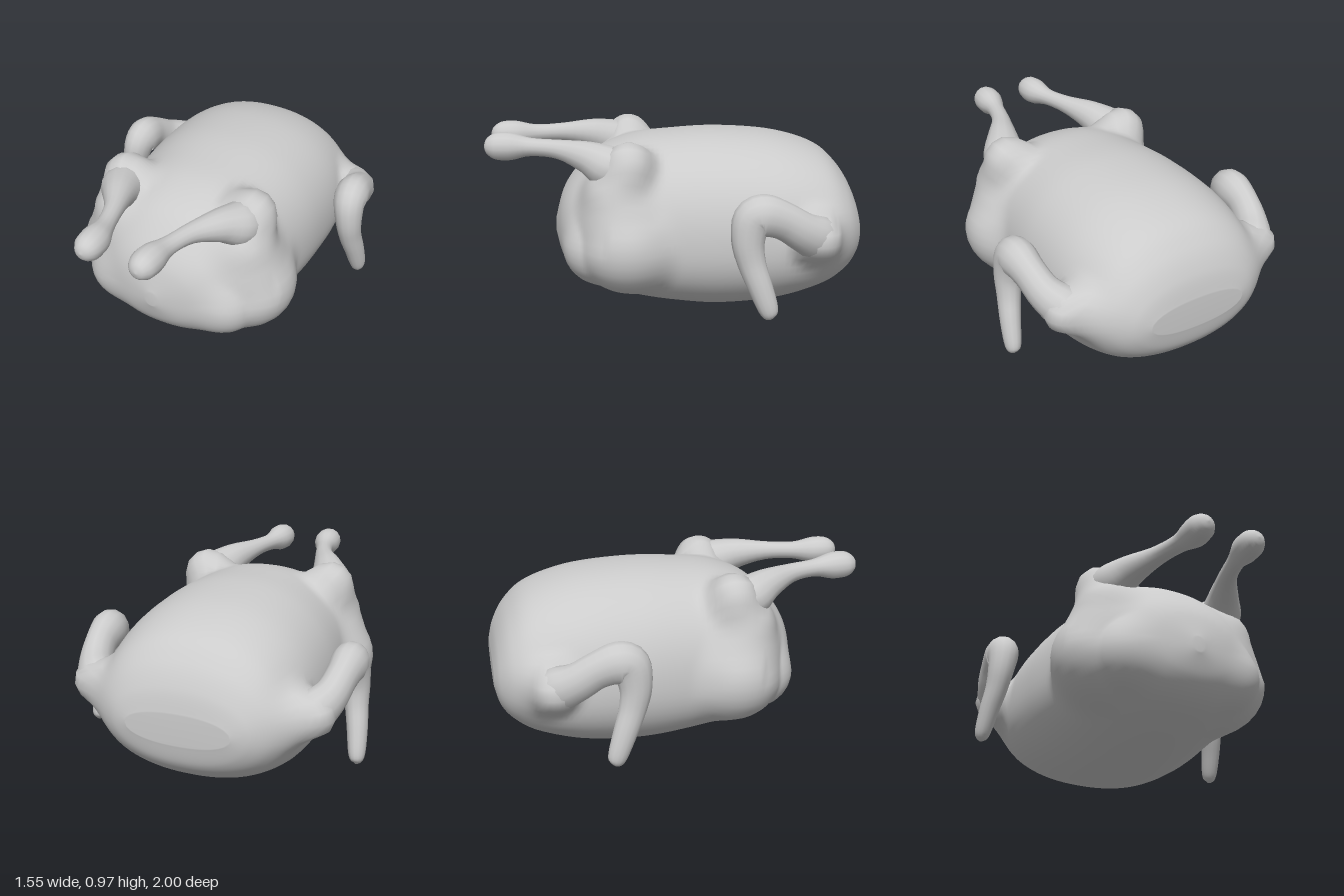
import * as THREE from 'three';

const V = (x, y, z) => new THREE.Vector3(x, y, z);

// Smoothly interpolates rows of numbers, t from 0 to 1
function spline(rows, t) {
  const f = t * (rows.length - 1), i = Math.min(Math.floor(f), rows.length - 2), u = f - i;
  const row = k => rows[Math.min(Math.max(k, 0), rows.length - 1)];
  const [a, b, c, d] = [row(i - 1), row(i), row(i + 1), row(i + 2)];
  return b.map((_, k) => b[k] + 0.5 * u * (c[k] - a[k] + u * (2 * a[k] - 5 * b[k] + 4 * c[k] - d[k]
    + u * (3 * (b[k] - c[k]) + d[k] - a[k]))));
}

// Closed skin over a list of rings, faces always turned outward
function loft(name, rings, material, side = 1) {
  const n = rings[0].length, pts = rings.flat();
  const centre = ring => ring.reduce((s, p) => s.add(p), V(0, 0, 0)).divideScalar(n);
  pts.push(centre(rings[0]), centre(rings.at(-1)));
  const idx = [], last = (rings.length - 1) * n, a = pts.length - 2;
  for (let j = 0; j < n; j++) {
    const k = (j + 1) % n;
    for (let r = 0; r < last; r += n) idx.push(r + j, r + k, r + n + j, r + k, r + n + k, r + n + j);
    idx.push(a, k, j, a + 1, last + j, last + k);
  }
  const P = pts.map(p => V(p.x * side, p.y, p.z));
  let volume = 0;
  for (let i = 0; i < idx.length; i += 3) {
    volume += P[idx[i]].dot(P[idx[i + 1]].clone().cross(P[idx[i + 2]]));
  }
  if (volume < 0) idx.reverse();
  const geo = new THREE.BufferGeometry().setFromPoints(P);
  geo.setIndex(idx);
  geo.computeVertexNormals();
  const mesh = new THREE.Mesh(geo, material);
  mesh.name = name;
  return mesh;
}

// Rings for a limb of changing thickness; rows are [x, y, z, radius], thinX flattens it sideways
function limbRings(rows, steps, sides, thinX = 1) {
  const at = t => spline(rows, t), pos = t => V(...at(t).slice(0, 3));
  const thin = V(thinX, 1, 1);
  let normal = V(0.3, 1, 0.2);
  return Array.from({ length: steps + 1 }, (_, i) => {
    const t = i / steps, p = pos(t), r = at(t)[3];
    const dir = pos(Math.min(t + 0.01, 1)).sub(pos(Math.max(t - 0.01, 0))).normalize();
    normal = normal.clone().addScaledVector(dir, -normal.dot(dir)).normalize();
    const across = dir.clone().cross(normal);
    return Array.from({ length: sides }, (_, j) => {
      const a = j / sides * Math.PI * 2;
      const offset = normal.clone().multiplyScalar(r * Math.cos(a)).addScaledVector(across, r * Math.sin(a));
      return offset.multiply(thin).add(p);
    });
  });
}

// Distance from a point to a tapered capsule between [x, y, z, radius] ends
function capsule(x, y, z, [ax, ay, az, ar], [bx, by, bz, br]) {
  const dx = bx - ax, dy = by - ay, dz = bz - az;
  const along = ((x - ax) * dx + (y - ay) * dy + (z - az) * dz) / (dx * dx + dy * dy + dz * dz);
  const t = Math.min(Math.max(along, 0), 1);
  return Math.hypot(x - ax - t * dx, y - ay - t * dy, z - az - t * dz) - ar - t * (br - ar);
}

// Union of two distances with a soft crease
function blend(a, b, k) {
  const h = Math.max(k - Math.abs(a - b), 0);
  return Math.min(a, b) - h * h / (4 * k);
}

export function createModel() {
  const group = new THREE.Group();
  const skin = new THREE.MeshStandardMaterial({ color: 0xcccccc });

  // Body: [z, half width, bottom, widest height, top]
  const bodyRows = [
    [-1, 0.27, 0.36, 0.44, 0.52], [-0.97, 0.36, 0.25, 0.44, 0.64], [-0.9, 0.45, 0.17, 0.44, 0.76],
    [-0.78, 0.51, 0.1, 0.43, 0.86], [-0.55, 0.55, 0.03, 0.43, 0.93], [-0.25, 0.55, 0, 0.43, 0.955],
    [0, 0.53, 0.02, 0.42, 0.945], [0.22, 0.51, 0.06, 0.42, 0.92], [0.4, 0.46, 0.11, 0.42, 0.85],
    [0.52, 0.37, 0.17, 0.42, 0.74], [0.6, 0.24, 0.26, 0.42, 0.62], [0.645, 0.03, 0.38, 0.42, 0.46]];

  // Thighs and shoulders swell out of the body skin
  const hip = [0.37, 0.42, 0.25, 0.25], shin = [0.34, 0.66, 0.29, 0.185];
  const knee = [0.365, 0.83, 0.24, 0.133], rump = [0.31, 0.38, 0.41, 0.175];
  const shoulder = [0.3, 0.45, -0.78, 0.15], armpit = [0.58, 0.5, -0.715, 0.115];
  const surface = (x, y, z, [, w, low, mid, high]) => {
    const h = y > mid ? high - mid : mid - low;
    const trunk = ((x / w) ** 2.22 + (Math.abs(y - mid) / h) ** 2.22) ** (1 / 2.22) - 1;
    const thigh = Math.min(capsule(x, y, z, hip, shin), capsule(x, y, z, shin, knee), capsule(x, y, z, hip, rump));
    return blend(blend(trunk * Math.min(w, h), thigh, 0.08), capsule(x, y, z, shoulder, armpit), 0.08);
  };
  const bodyRings = Array.from({ length: 100 }, (_, i) => {
    const row = spline(bodyRows, i / 99), [z, , , mid] = row;
    return Array.from({ length: 72 }, (_, j) => {
      const a = j / 72 * Math.PI * 2, c = Math.cos(a), s = Math.sin(a);
      const value = r => surface(Math.abs(r * c), mid + r * s, z, row);
      let r = 0.85;
      while (r > 0.01 && value(r) > 0) r -= 0.01;
      let out = r + 0.01;
      for (let n = 0; n < 8; n++) {
        const half = (r + out) / 2;
        if (value(half) > 0) out = half; else r = half;
      }
      return V(r * c, mid + r * s, z);
    });
  });
  group.add(loft('body', bodyRings, skin));

  // Drumstick with a knob of bone at the end
  const drumstickRings = limbRings([
    [0.36, 0.8, 0.25, 0.1], [0.34, 0.825, 0.34, 0.115], [0.29, 0.868, 0.45, 0.085],
    [0.22, 0.895, 0.6, 0.052], [0.175, 0.9, 0.75, 0.048], [0.155, 0.9, 0.86, 0.073],
    [0.15, 0.9, 0.94, 0.07], [0.15, 0.9, 0.985, 0.042], [0.15, 0.9, 1, 0.005]], 32, 14);

  // Wing: upper arm, raised elbow, forearm hanging down
  const wingRings = limbRings([
    [0.5, 0.48, -0.735, 0.1], [0.58, 0.51, -0.7, 0.115], [0.635, 0.56, -0.62, 0.1],
    [0.66, 0.625, -0.52, 0.095], [0.668, 0.657, -0.42, 0.108], [0.675, 0.635, -0.36, 0.1],
    [0.69, 0.53, -0.34, 0.083], [0.702, 0.42, -0.36, 0.07], [0.72, 0.31, -0.4, 0.062],
    [0.733, 0.2, -0.44, 0.052], [0.737, 0.155, -0.453, 0.036], [0.737, 0.138, -0.46, 0.005]], 44, 14, 0.85);

  for (const [side, label] of [[1, 'left'], [-1, 'right']]) {
    group.add(loft(label + 'Drumstick', drumstickRings, skin, side));
    group.add(loft(label + 'Wing', wingRings, skin, side));
  }
  return group;
}
